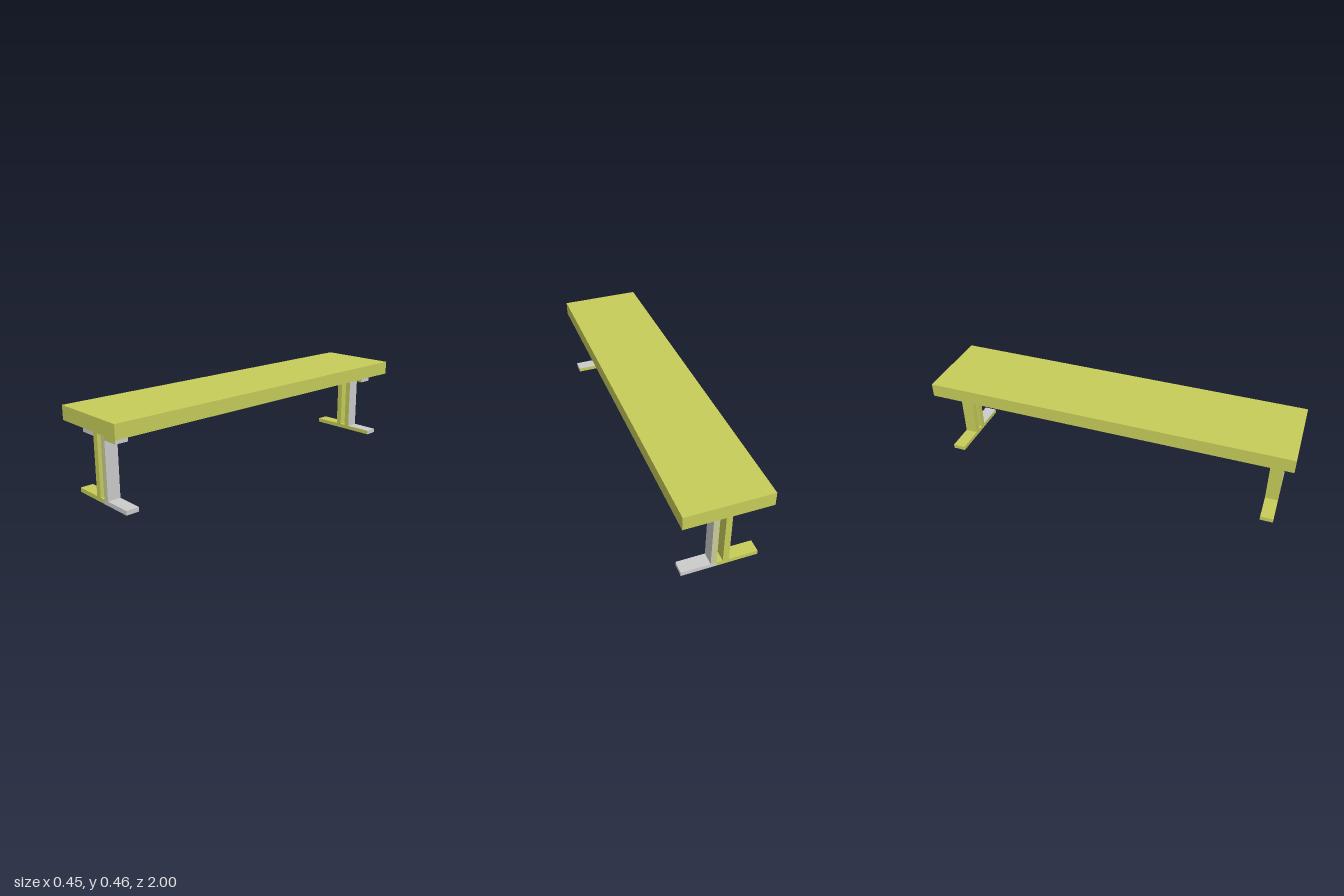
import * as THREE from 'three';

const olive = new THREE.MeshStandardMaterial({ color: 0xc6cc59 });
const grey = new THREE.MeshStandardMaterial({ color: 0xcccccc });
const blend = new THREE.MeshStandardMaterial({ color: 0xc9cc98 });
const faces = ['+x', '-x', '+y', '-y', '+z', '-z'];

// Box given by its limits; paint maps a face direction to a material, the rest is olive
function block(name, [x0, x1], [y0, y1], [z0, z1], paint = {}) {
  const geometry = new THREE.BoxGeometry(x1 - x0, y1 - y0, z1 - z0);
  const painted = Object.keys(paint).length > 0;
  const mesh = new THREE.Mesh(geometry, painted ? faces.map(f => paint[f] || olive) : olive);
  mesh.position.set((x0 + x1) / 2, (y0 + y1) / 2, (z0 + z1) / 2);
  mesh.name = name;
  return mesh;
}

// One trestle; side is +1 at the front end and -1 at the back end
function trestle(side) {
  const group = new THREE.Group();
  group.name = side > 0 ? 'frontTrestle' : 'backTrestle';
  const z = side > 0 ? [0.875, 0.945] : [-0.945, -0.875];
  const outer = side > 0 ? '+z' : '-z';
  const footY = [0, 0.023], postY = [0.023, 0.38], armY = [0.328, 0.348], tabY = [0.348, 0.38];

  group.add(
    // Foot in two halves
    block('rightFoot', [-0.201, 0.016], footY, z),
    block('leftFoot', [0.016, 0.2], footY, z, { '+x': grey, '+y': grey, '-y': grey, [outer]: grey }),
    // Twin posts
    block('rightPost', [-0.048, -0.016], postY, z),
    block('leftPost', [0.016, 0.047], postY, z, { '+x': grey, [outer]: blend }),
    // Support arms and the upright tabs that meet the top
    block('rightArm', [-0.14, -0.048], armY, z, { [outer]: grey }),
    block('rightTab', [-0.14, -0.126], tabY, z),
    block('leftArm', [0.047, 0.137], armY, z, { '+x': grey, '-y': grey }),
    block('leftTab', [0.122, 0.137], tabY, z, { '+x': grey })
  );
  return group;
}

export function createModel() {
  const model = new THREE.Group();
  model.name = 'trestleTable';

  // Thick top slab
  model.add(block('tableTop', [-0.225, 0.225], [0.38, 0.455], [-1, 1]));

  // End trestles
  for (const side of [1, -1]) model.add(trestle(side));

  // Long rails joining the posts
  model.add(block('rightRail', [-0.046, -0.018], [0.333, 0.349], [-0.875, 0.875]));
  model.add(block('leftRail', [0.018, 0.045], [0.333, 0.349], [-0.875, 0.875]));

  return model;
}
